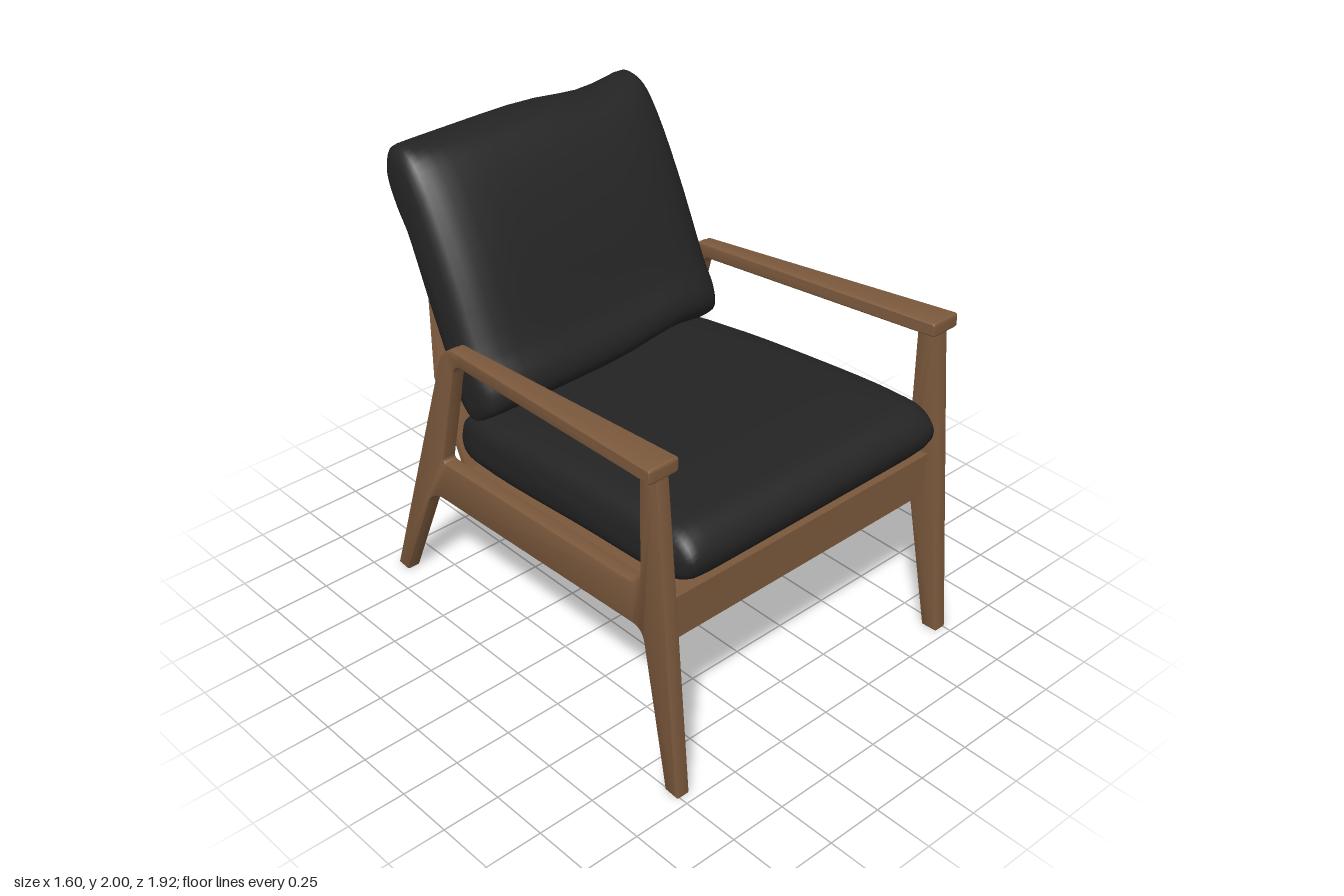
import * as THREE from 'three';
import { toCreasedNormals } from 'three/addons/utils/BufferGeometryUtils.js';

const wood = new THREE.MeshStandardMaterial({ color: 0x7d5a3d });
wood.name = 'walnut wood';
const fabric = new THREE.MeshStandardMaterial({ color: 0x242424 });
fabric.name = 'black fabric';

// Trace a closed outline of [u, v, cornerRadius] points with rounded corners
function trace(path, points) {
  const v = points.map(([x, y]) => new THREE.Vector2(x, y));
  const n = v.length;
  v.forEach((p, i) => {
    const r = points[i][2] || 0;
    const toward = (q) => q.clone().sub(p).setLength(r).add(p);
    const a = toward(v[(i + n - 1) % n]);
    const b = toward(v[(i + 1) % n]);
    if (i === 0) path.moveTo(a.x, a.y);
    else path.lineTo(a.x, a.y);
    if (r > 0) path.quadraticCurveTo(p.x, p.y, b.x, b.y);
  });
  path.closePath();
  return path;
}

// Move every vertex by a rule, then refresh the normals
function reshape(geometry, rule) {
  const pos = geometry.attributes.position;
  const p = new THREE.Vector3();
  for (let i = 0; i < pos.count; i++) {
    rule(p.fromBufferAttribute(pos, i));
    pos.setXYZ(i, p.x, p.y, p.z);
  }
  const flat = geometry.index ? geometry.toNonIndexed() : geometry;
  flat.computeVertexNormals();
  return toCreasedNormals(flat, 0.5);
}

function add(parent, name, geometry, material) {
  const mesh = new THREE.Mesh(geometry, material);
  mesh.name = name;
  parent.add(mesh);
  return mesh;
}

// Side-profile slab in (z, y), placed on one side; mid and half give x centre and half width along z
function sideSlab(shape, side, mid, half) {
  const bevel = 0.008;
  const geometry = new THREE.ExtrudeGeometry(shape, {
    depth: 2 * (0.03 - bevel), bevelThickness: bevel, bevelSize: bevel,
    bevelOffset: -bevel, bevelSegments: 2, curveSegments: 8,
  });
  geometry.translate(0, 0, bevel - 0.03);
  return reshape(geometry, (p) =>
    p.set(side * mid(p.x) - (p.z / 0.03) * half(p.x), p.y, p.x));
}

// Soft cushion lofted across x: a (z, y) profile that thins toward both sides
function cushion(profile, { centre, axis, pinch, width, sag }) {
  const curve = new THREE.CatmullRomCurve3(
    profile.map(([z, y]) => new THREE.Vector3(0, y, z)), true, 'centripetal');
  const N = 56;
  const ring = curve.getPoints(N).slice(0, N);
  const c = new THREE.Vector3(0, centre[1], centre[0]);
  const along = new THREE.Vector3(0, axis[1], axis[0]).normalize();
  const across = new THREE.Vector3(0, -along.z, along.y);
  const steps = [0.2, 0.4, 0.55, 0.7, 0.8, 0.88, 0.93, 0.96, 0.98, 0.993, 1];
  const stations = [...steps.map((s) => -s).reverse(), 0, ...steps];
  const position = [];
  const index = [];
  stations.forEach((s, i) => {
    const a = Math.abs(s);
    const thick = Math.pow(1 - Math.pow(a, pinch), 0.4);
    const long = Math.pow(1 - Math.pow(a, 50), 0.3) * (1 - sag(s));
    ring.forEach((q, j) => {
      const d = q.clone().sub(c);
      const p = c.clone()
        .addScaledVector(along, d.dot(along) * long)
        .addScaledVector(across, d.dot(across) * thick);
      position.push(s * width(p.z), p.y, p.z);
      if (i === stations.length - 1) return;
      const k = (j + 1) % N;
      const A = i * N + j, B = i * N + k, C = A + N, D = B + N;
      index.push(A, B, C, B, D, C);
    });
  });
  const geometry = new THREE.BufferGeometry();
  geometry.setAttribute('position', new THREE.Float32BufferAttribute(position, 3));
  geometry.setIndex(index);
  geometry.computeVertexNormals();
  return geometry;
}

export function createModel() {
  const chair = new THREE.Group();
  chair.name = 'lounge chair';

  // Side frame: both legs, rail and arm support in one outline with an opening
  const frame = trace(new THREE.Shape(), [
    [0.96, 0], [0.83, 1.43], [-0.465, 1.311, 0.09], [-0.93, 0], [-0.86, 0],
    [-0.615, 0.545, 0.09], [0.755, 0.685, 0.06], [0.89, 0],
  ]);
  frame.holes.push(trace(new THREE.Path(), [
    [0.745, 1.385], [0.745, 0.872, 0.07], [-0.515, 0.742, 0.025], [-0.388, 1.262, 0.06],
  ]));
  // Armrest: wide at the front, narrowing into the rear bend
  const arm = trace(new THREE.Shape(), [
    [0.85, 1.383, 0.01], [0.85, 1.445, 0.015], [-0.41, 1.318], [-0.41, 1.255],
  ]);
  for (const side of [1, -1]) {
    const label = side > 0 ? 'left' : 'right';
    add(chair, label + 'SideFrame',
      sideSlab(frame, side, (z) => 0.682 + 0.052 * z, () => 0.032), wood);
    add(chair, label + 'Armrest',
      sideSlab(arm, side, (z) => 0.68 + 0.058 * z, (z) => 0.046 + 0.028 * z), wood);
  }

  // Front rail and seat panel, tilted and tapered between the side frames
  const tilt = (p) => p.set(p.x * (0.66 + 0.045 * p.z), p.y + 0.1 * p.z, p.z);
  const rail = new THREE.BoxGeometry(2, 0.15, 0.05).translate(0, 0.633, 0.815);
  add(chair, 'frontRail', reshape(rail, tilt), wood);
  const panel = new THREE.BoxGeometry(2, 0.042, 1.35).translate(0, 0.73, 0.17);
  add(chair, 'seatPanel', reshape(panel, tilt), wood);

  // Back panel: leaning board with a tapered top
  const board = trace(new THREE.Shape(), [
    [-0.615, 0.69], [0.615, 0.69], [0.615, 1.06], [0.42, 1.7, 0.01], [-0.42, 1.7, 0.01], [-0.615, 1.06],
  ]);
  const back = new THREE.ExtrudeGeometry(board, { depth: 0.03, bevelEnabled: false });
  add(chair, 'backPanel', reshape(back, (p) => {
    p.z += -0.595 - 0.445 * (p.y - 0.97);
  }), wood);

  // Seat cushion
  add(chair, 'seatCushion', cushion([
    [-0.47, 0.76], [-0.5, 0.86], [-0.45, 0.97], [-0.2, 1.03], [0.3, 1.085], [0.7, 1.107],
    [0.84, 1.09], [0.91, 1.01], [0.89, 0.92], [0.8, 0.86], [0.3, 0.8], [-0.3, 0.74],
  ], {
    centre: [0.2, 0.93], axis: [1, 0.1], pinch: 14,
    width: (z) => 0.655 + 0.037 * z, sag: () => 0,
  }), fabric);

  // Back cushion, with a slight dip along its top edge
  add(chair, 'backCushion', cushion([
    [-0.43, 0.94], [-0.54, 1.0], [-0.6, 1.15], [-0.72, 1.4], [-0.845, 1.67], [-0.93, 1.76],
    [-0.957, 1.86], [-0.89, 1.97], [-0.8, 2.0], [-0.7, 1.98], [-0.6, 1.88], [-0.45, 1.62],
    [-0.3, 1.28], [-0.23, 1.16], [-0.235, 1.08], [-0.32, 1.0],
  ], {
    centre: [-0.57, 1.47], axis: [-0.42, 0.9], pinch: 7,
    width: (z) => 0.635 + 0.03 * (z + 0.5),
    sag: (s) => 0.06 * Math.exp(-(((s - 0.6) / 0.35) ** 2)),
  }), fabric);

  return chair;
}
